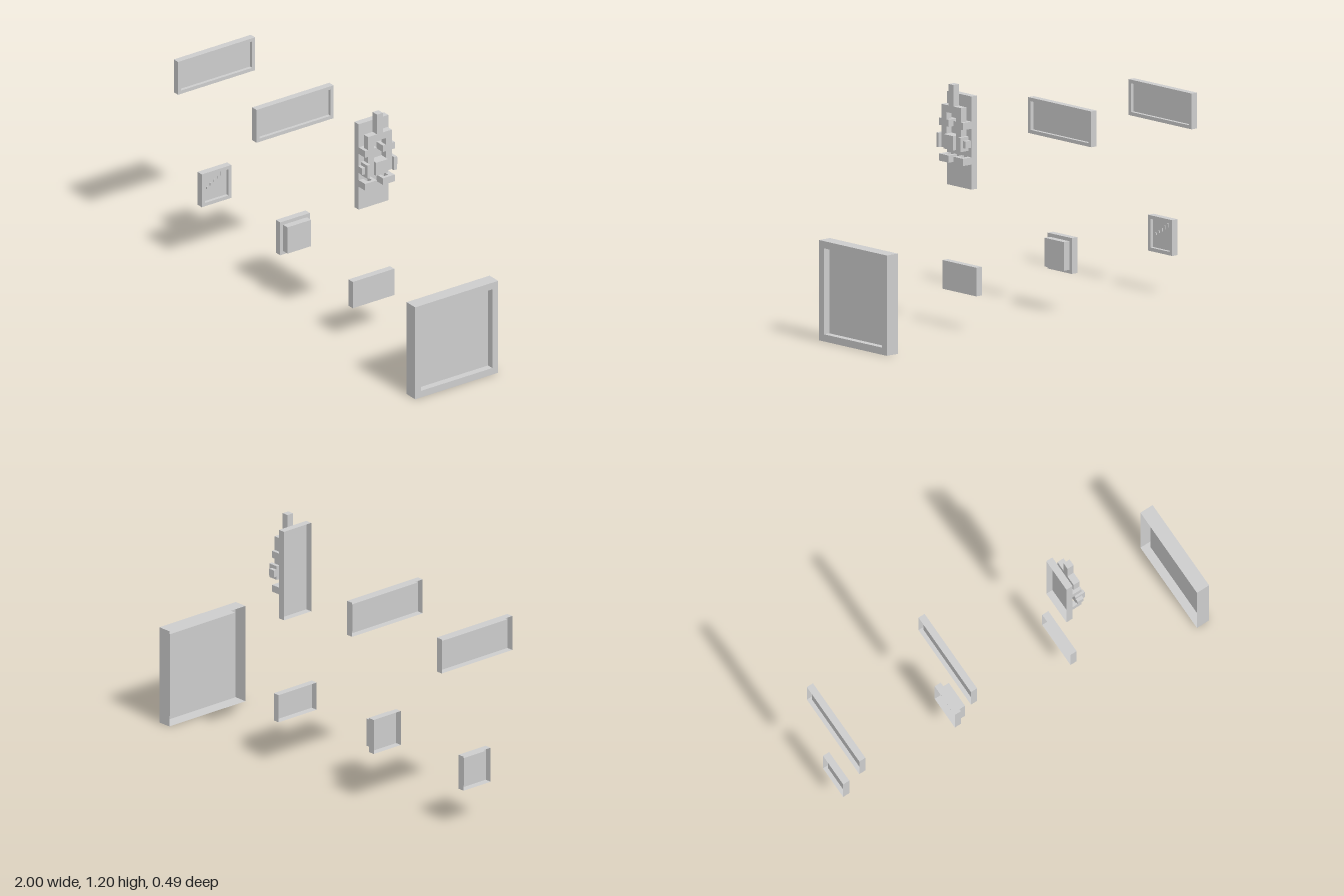
import * as THREE from 'three';
import { mergeGeometries } from 'three/addons/utils/BufferGeometryUtils.js';

const U = 2 / 114; // one grid unit

export function createModel() {
  const root = new THREE.Group();
  const grey = new THREE.MeshStandardMaterial({ color: 0xcccccc, side: THREE.DoubleSide });
  grey.name = 'lightGrey';

  // box from x, y, z ranges, leaving out faces (0..5 = +x -x +y -y +z -z)
  function box(x0, x1, y0, y1, z0, z1, skip = []) {
    const g = new THREE.BoxGeometry(x1 - x0, y1 - y0, z1 - z0);
    const idx = Array.from(g.index.array).filter((_, i) => !skip.includes(Math.floor(i / 6)));
    g.setIndex(idx);
    g.clearGroups();
    return g.translate((x0 + x1) / 2, (y0 + y1) / 2, (z0 + z1) / 2);
  }

  function add(parent, name, ...geos) {
    const mesh = new THREE.Mesh(geos.length > 1 ? mergeGeometries(geos) : geos[0], grey);
    mesh.name = name;
    parent.add(mesh);
  }

  // panel facing +x with an open back; rim > 0 sinks the middle behind a frame
  function panel(name, xBack, thick, yMid, h, w, rim = 0) {
    const group = new THREE.Group();
    group.name = name;
    group.position.set(xBack, yMid, 0);
    const H = h * U / 2, W = w * U / 2, T = thick * U, r = rim * U;
    if (!rim) {
      add(group, 'shell', box(0, T, -H, H, -W, W, [1]));
    } else {
      const rect = (C, a, b) => new C([[-a, -b], [a, -b], [a, b], [-a, b]].map(p => new THREE.Vector2(...p)));
      const s = rect(THREE.Shape, W, H);
      s.holes.push(rect(THREE.Path, W - r, H - r));
      const ring = new THREE.ShapeGeometry(s).rotateY(Math.PI / 2).translate(T, 0, 0);
      add(group, 'outerWalls', box(0, T, -H, H, -W, W, [0, 1]));
      add(group, 'frameFront', ring);
      add(group, 'recess', box(T - r, T, r - H, H - r, r - W, W - r, [0]));
    }
    root.add(group);
    return group;
  }

  const xA = -1, xB = -0.358, xC = 0.284;

  // framed panels
  panel('upperWidePanelOuter', xA, 2, 0.925, 10, 26, 1);
  panel('upperWidePanelInner', xB, 2, 0.925, 10, 26, 1);
  panel('largeFramedPanel', 1 - 4 * U, 4, 14 * U, 28, 28, 2);

  // small framed panel with a diagonal row of raised strokes, longer towards the top
  const slot = panel('smallFramedPanel', xA, 2, 0.283, 10, 10, 1);
  for (let i = 0; i < 5; i++) {
    const z = (2.6 - i * 1.2) * U, y = (-0.4 + i * 0.7) * U, len = (0.6 + i * 0.15) * U;
    add(slot, 'raisedStroke', box(U, 1.3 * U, y, y + len, z - 0.2 * U, z + 0.2 * U, [1]));
  }

  // small panel with a raised block
  const button = panel('buttonPanel', xB, 2, 0.283, 10, 10);
  add(button, 'raisedBlock', box(2 * U, 4 * U, -4 * U, 4 * U, -4 * U, 4 * U, [1]));

  // plain panel
  panel('plainPanel', xC, 2, 0.249, 8, 14);

  // tall back plate carrying the sliding bolt
  const lock = panel('boltPlate', xC, 2, 0.924, 26, 10);
  // x from the plate front, y from the plate bottom, all in grid units
  const block = (x0, x1, y0, y1, z0, z1) =>
    box(...[x0 + 2, x1 + 2, y0 - 13, y1 - 13, z0, z1].map(v => v * U));

  add(lock, 'boltTip', block(1, 3, 23, 29, -1, 1));
  add(lock, 'boltBridge', block(1, 3, 21, 23, -4, 4));
  add(lock, 'handleBlock', block(1, 4, 11, 15, -2, 2));
  for (const s of [-1, 1]) {
    const side = (x0, x1, y0, y1, a, b) =>
      block(x0, x1, y0, y1, Math.min(s * a, s * b), Math.max(s * a, s * b));
    add(lock, 'boltLeg', side(1, 3, 11, 21, 2, 4));
    add(lock, 'upperBracket', side(0, 3, 17, 19, 1, 5));
    // hollow staple: two prongs joined by a front bar
    add(lock, 'lowerBracket',
      side(0, 2, 7, 9, 1, 2), side(0, 2, 7, 9, 3.5, 5), side(2, 3, 7, 9, 1, 5));
    add(lock, 'sideBlock', side(1, 4, 11, 15, 4, 5));
    add(lock, 'sideNub', side(1, 3, 12, 14, 5, 6));
  }
  return root;
}
